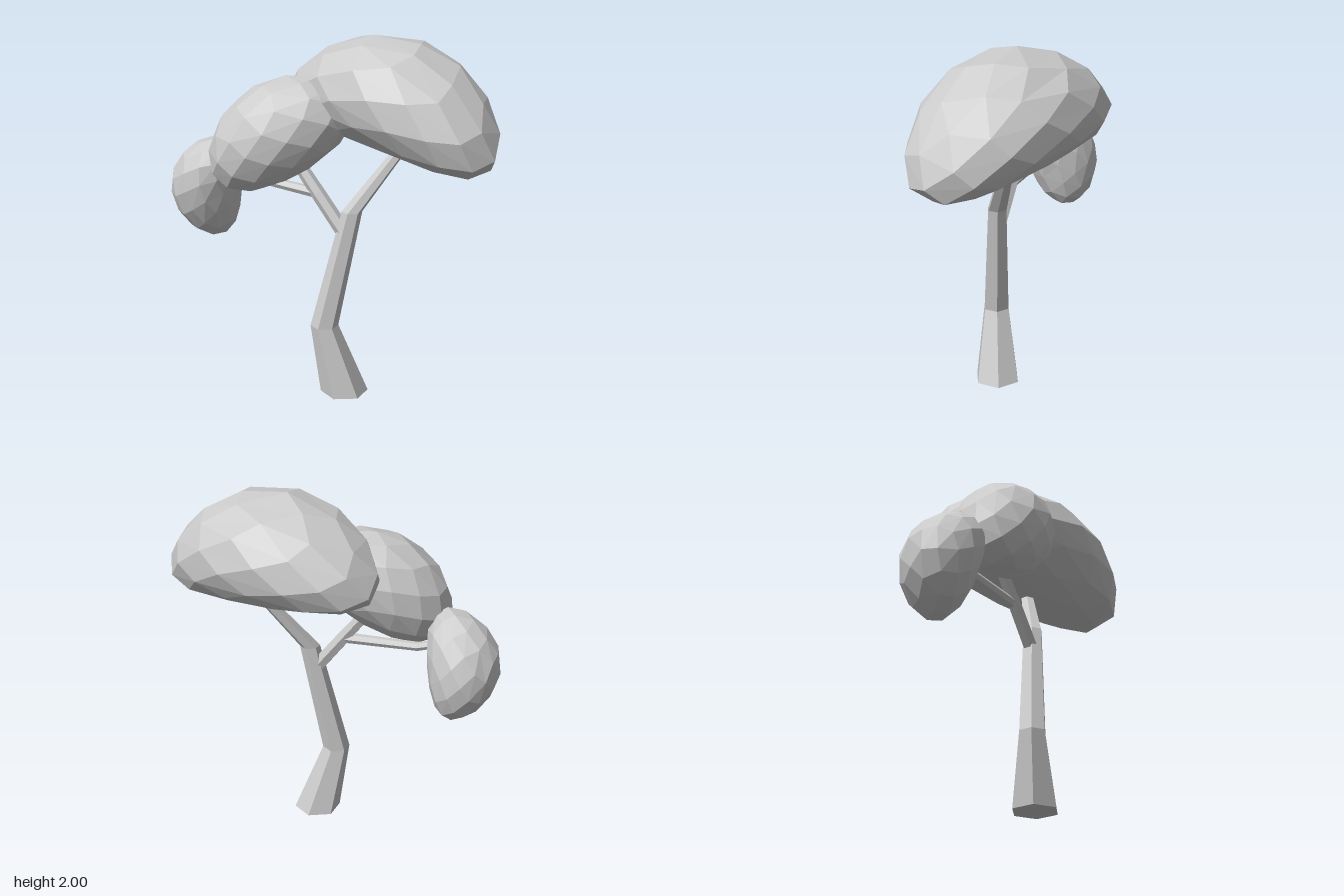
import * as THREE from 'three';
import { ConvexGeometry } from 'three/addons/geometries/ConvexGeometry.js';

const material = new THREE.MeshStandardMaterial({ color: 0xcccccc, flatShading: true });

// Unit ball with broad irregular facets, from points spread along a spiral
function facetedBall(count) {
  const points = [];
  for (let i = 0; i < count; i++) {
    const y = 1 - (2 * i + 1) / count;
    const r = Math.sqrt(1 - y * y);
    const angle = i * Math.PI * (3 - Math.sqrt(5));
    points.push(new THREE.Vector3(r * Math.cos(angle), y, r * Math.sin(angle)));
  }
  return new ConvexGeometry(points);
}

// Faceted ellipsoid whose two long ends droop along local -y
function foliage(name, center, [a, b, c], droop, rotation) {
  const geometry = facetedBall(72);
  const p = geometry.attributes.position;
  for (let i = 0; i < p.count; i++) {
    const x = p.getX(i);
    p.setXYZ(i, a * x, b * p.getY(i) - droop * x * x, c * p.getZ(i));
  }
  geometry.computeVertexNormals();
  const mesh = new THREE.Mesh(geometry, material);
  mesh.name = name;
  mesh.position.set(...center);
  mesh.rotation.set(...rotation);
  return mesh;
}

// Tapered six-sided limb through nodes [x, y, z, radius]
function limb(name, nodes, levelRings = false) {
  const sides = 6;
  const up = new THREE.Vector3(0, 1, 0);
  const centers = nodes.map(([x, y, z]) => new THREE.Vector3(x, y, z));
  const positions = [];
  const indices = [];
  centers.forEach((center, i) => {
    const before = centers[Math.max(i - 1, 0)];
    const after = centers[Math.min(i + 1, centers.length - 1)];
    const direction = levelRings ? up : after.clone().sub(before).normalize();
    const turn = new THREE.Quaternion().setFromUnitVectors(up, direction);
    for (let s = 0; s < sides; s++) {
      const angle = (s / sides) * Math.PI * 2;
      const v = new THREE.Vector3(Math.sin(angle), 0, Math.cos(angle));
      v.multiplyScalar(nodes[i][3]).applyQuaternion(turn).add(center);
      positions.push(v.x, v.y, v.z);
    }
  });
  // Side walls
  for (let i = 0; i < nodes.length - 1; i++) {
    for (let s = 0; s < sides; s++) {
      const p = i * sides + s;
      const q = i * sides + ((s + 1) % sides);
      indices.push(p, q, q + sides, p, q + sides, p + sides);
    }
  }
  // End caps
  const top = (nodes.length - 1) * sides;
  for (let s = 1; s < sides - 1; s++) {
    indices.push(0, s + 1, s, top, top + s, top + s + 1);
  }
  const geometry = new THREE.BufferGeometry();
  geometry.setAttribute('position', new THREE.Float32BufferAttribute(positions, 3));
  geometry.setIndex(indices);
  const faceted = geometry.toNonIndexed();
  faceted.computeVertexNormals();
  const mesh = new THREE.Mesh(faceted, material);
  mesh.name = name;
  return mesh;
}

export function createModel() {
  const tree = new THREE.Group();
  tree.name = 'tree';

  // Trunk and branches
  tree.add(
    limb('trunk', [
      [0.105, 0, 0.13, 0.132],
      [0.008, 0.4, 0.183, 0.077],
      [0.137, 1.06, 0.105, 0.056],
      [0.36, 1.42, -0.08, 0.038],
      [0.38, 1.45, -0.095, 0.037],
    ], true),
    limb('sideBranch', [
      [0.11, 0.92, 0.12, 0.042],
      [-0.06, 1.14, 0.122, 0.04],
      [-0.2, 1.32, 0.12, 0.035],
    ]),
    limb('twig', [
      [-0.06, 1.14, 0.12, 0.03],
      [-0.5, 1.175, 0.11, 0.025],
      [-0.61, 1.21, 0.11, 0.022],
    ]),
  );

  // Foliage clumps
  tree.add(
    foliage('mainCanopy', [0.305, 1.695, -0.065], [0.675, 0.305, 0.395], 0.185, [-0.1, -0.25, -0.15]),
    foliage('middleCanopy', [-0.27, 1.485, 0.195], [0.435, 0.265, 0.28], 0.05, [0.22, 0.5, 0.45]),
    foliage('lowerCanopy', [-0.755, 1.11, 0.142], [0.31, 0.198, 0.215], 0.075, [0.25, 0, 1.38]),
  );
  return tree;
}
